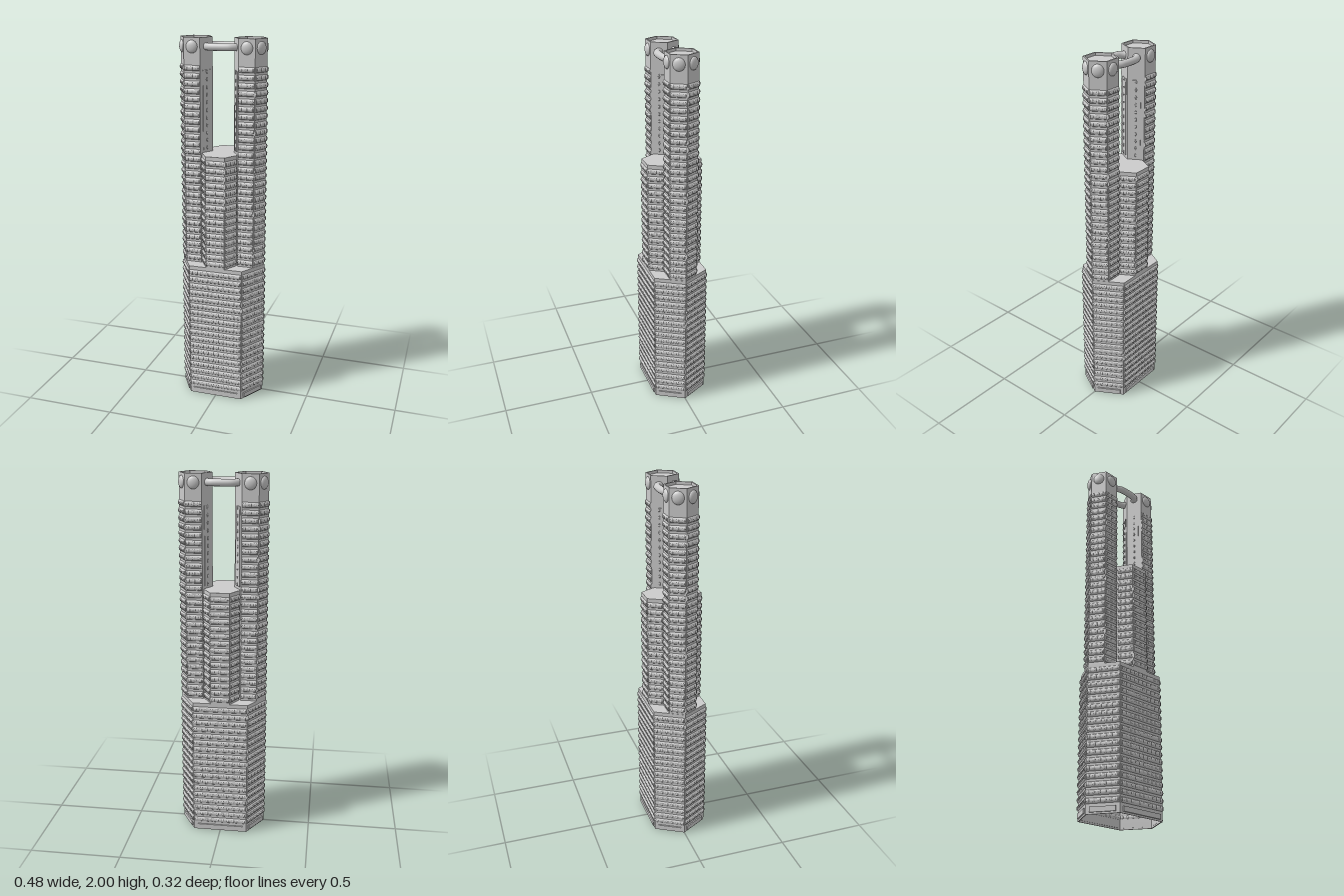
import * as THREE from 'three';
import { mergeGeometries } from 'three/addons/utils/BufferGeometryUtils.js';

const PITCH = 0.04; // storey height
const material = new THREE.MeshStandardMaterial({ color: 0xcccccc, side: THREE.DoubleSide });

function add(parent, name, geometry) {
  const mesh = new THREE.Mesh(geometry, material);
  mesh.name = name;
  parent.add(mesh);
  return mesh;
}

// Six-sided plan: half width at the widest row, half width of the flat face, half depth
const hexPlan = (wide, flat, depth) =>
  [[wide, 0], [flat, depth], [-flat, depth], [-wide, 0], [-flat, -depth], [flat, -depth]];

const scaled = (plan, s) => plan.map(([x, z]) => [x * s, z * s]);
const toVectors = (plan) => plan.map(([x, z]) => new THREE.Vector2(x, z));

// Upright prism over a plan, optionally hollow
function prism(plan, y0, y1, hole) {
  const shape = new THREE.Shape(toVectors(plan));
  if (hole) shape.holes.push(new THREE.Path(toVectors(hole)));
  const g = new THREE.ExtrudeGeometry(shape, { depth: y1 - y0, bevelEnabled: false });
  return g.rotateX(-Math.PI / 2).translate(0, y0, 0);
}

// Walls of a plan as length, midpoint and outward angle
function wallsOf(plan) {
  return plan.map(([ax, az], i) => {
    const [bx, bz] = plan[(i + 1) % plan.length];
    const x = (ax + bx) / 2, z = (az + bz) / 2;
    let nx = bz - az, nz = ax - bx;
    if (nx * x + nz * z < 0) { nx = -nx; nz = -nz; }
    return { length: Math.hypot(bx - ax, bz - az), x, z, angle: Math.atan2(nx, nz) };
  });
}

const onWall = (g, wall, y) => g.rotateY(wall.angle).translate(wall.x, y, wall.z);

// One storey of facade: a rounded sill rib carrying a row of window bumps
function storey(wall) {
  const parts = [
    new THREE.CylinderGeometry(1, 1, wall.length - 0.006, 8)
      .rotateZ(Math.PI / 2).scale(1, 0.014, 0.008),
  ];
  const count = Math.max(2, Math.round(wall.length / 0.03));
  const step = wall.length / count;
  for (let i = 0; i < count; i++) {
    parts.push(new THREE.SphereGeometry(1, 6, 4).scale(0.01, 0.011, 0.012)
      .translate((i + 0.5 - count / 2) * step, 0, 0));
  }
  return mergeGeometries(parts);
}

function facade(walls, y0, y1) {
  const parts = [];
  for (const wall of walls) {
    const row = storey(wall);
    for (let y = y0; y < y1; y += PITCH) parts.push(onWall(row.clone(), wall, y));
  }
  return mergeGeometries(parts);
}

function createBase() {
  const base = new THREE.Group();
  base.name = 'base';
  const plan = hexPlan(0.237, 0.15, 0.15);
  add(base, 'baseWalls', prism(plan, 0, 0.77, scaled(plan, 0.97)));
  add(base, 'baseRoof', prism(plan, 0.765, 0.78));
  add(base, 'baseFacade', facade(wallsOf(plan), 0.065, 0.77));
  // Plinth with long flat panels
  const panels = wallsOf(plan).map((w) =>
    onWall(new THREE.BoxGeometry(w.length - 0.04, 0.026, 0.014), w, 0.022));
  add(base, 'plinthPanels', mergeGeometries(panels));
  return base;
}

function createCentreBlock() {
  const block = new THREE.Group();
  block.name = 'centreBlock';
  const plan = [[0.095, 0.076], [0.052, 0.15], [-0.052, 0.15], [-0.095, 0.076],
    [-0.095, -0.076], [-0.052, -0.15], [0.052, -0.15], [0.095, -0.076]];
  add(block, 'blockBody', prism(plan, 0.77, 1.4));
  // The two walls facing the towers stay plain
  const open = wallsOf(plan).filter((w) => Math.abs(w.z) > 0.01);
  add(block, 'blockFacade', facade(open, 0.805, 1.39));
  return block;
}

function createTower(side) {
  const tower = new THREE.Group();
  tower.name = side > 0 ? 'leftTower' : 'rightTower';
  tower.position.x = side * 0.147;
  const plan = hexPlan(0.088, 0.044, 0.076);
  const inset = scaled(plan, 0.9);
  add(tower, 'towerBody', prism(plan, 0.77, 1.985));
  add(tower, 'towerParapet', prism(plan, 1.985, 2, inset));

  const walls = wallsOf(plan);
  const outer = walls.filter((w) => w.x * side > -0.01);
  const inner = walls.filter((w) => w.x * side < -0.01);
  add(tower, 'towerFacade', facade(outer, 0.805, 1.85));

  // Inner walls carry a plain strip with a single column of studs
  const studs = [];
  for (const wall of inner) {
    studs.push(onWall(new THREE.BoxGeometry(0.05, 0.42, 0.006), wall, 1.625));
    for (let y = 1.425; y < 1.84; y += PITCH) {
      studs.push(onWall(new THREE.SphereGeometry(1, 6, 4).scale(0.006, 0.012, 0.007), wall, y));
    }
  }
  add(tower, 'innerStuds', mergeGeometries(studs));

  // Domed lamps under the parapet
  const lamps = outer.map((w) =>
    onWall(new THREE.SphereGeometry(1, 20, 14).scale(0.031, 0.033, 0.015), w, 1.953));
  add(tower, 'crownLamps', mergeGeometries(lamps));
  return tower;
}

// Oval tube joining the tower tops
function createSkyRing() {
  const points = [];
  const half = 0.035, radius = 0.06;
  for (const side of [1, -1]) {
    for (let i = 0; i <= 8; i++) {
      const a = (i / 8 - 0.5) * Math.PI;
      points.push(new THREE.Vector3(side * (half + radius * Math.cos(a)), 1.953,
        side * radius * Math.sin(a)));
    }
  }
  const path = new THREE.CatmullRomCurve3(points, true);
  return new THREE.TubeGeometry(path, 80, 0.019, 14, true);
}

export function createModel() {
  const model = new THREE.Group();
  model.name = 'twinTowerBuilding';
  model.add(createBase(), createCentreBlock(), createTower(1), createTower(-1));
  add(model, 'skyRing', createSkyRing());
  return model;
}
